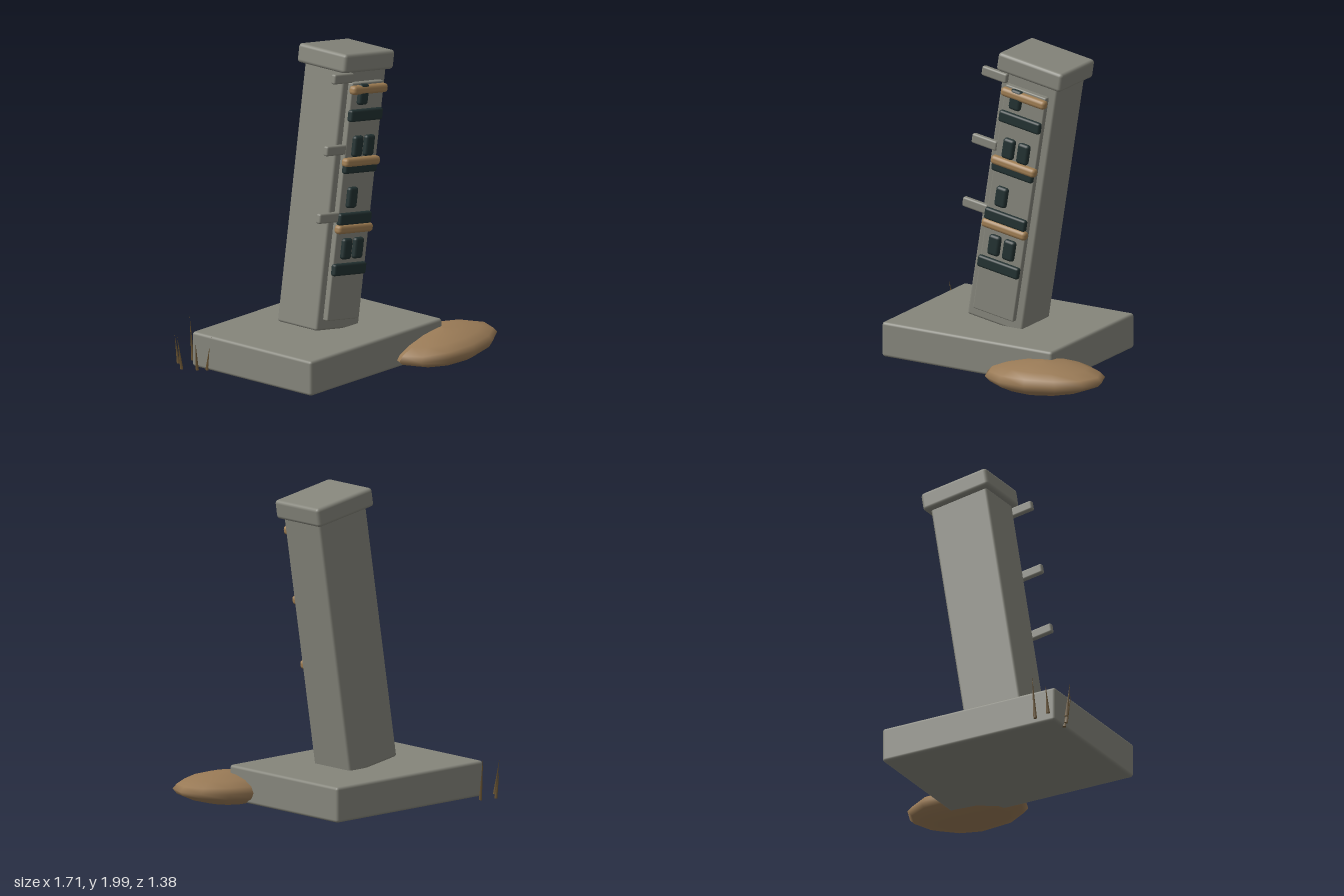
import * as THREE from 'three';
import { RoundedBoxGeometry } from 'three/addons/geometries/RoundedBoxGeometry.js';

const material = (name, color) => {
  const m = new THREE.MeshStandardMaterial({ color });
  m.name = name;
  return m;
};

export function createModel() {
  const stone = material('grey stone', 0x85857b);
  const dark = material('dark slate', 0x223131);
  const wood = material('tan wood', 0xa07e53);
  const earth = material('brown earth', 0x997a56);
  const straw = material('dry straw', 0x6e5836);

  const model = new THREE.Group();
  model.name = 'leaningTower';

  // Rounded block given by its centre and size
  const block = (parent, name, mat, [x, y, z], [w, h, d], r) => {
    const mesh = new THREE.Mesh(new RoundedBoxGeometry(w, h, d, 2, r), mat);
    mesh.name = name;
    mesh.position.set(x, y, z);
    parent.add(mesh);
    return mesh;
  };

  // Plinth
  block(model, 'base', stone, [-0.132, 0.145, -0.078], [1.215, 0.22, 0.965], 0.018);

  // Leaning tower, built upright in its own frame
  const tower = new THREE.Group();
  tower.name = 'tower';
  tower.position.set(-0.13, 0.26, 0);
  tower.rotation.z = -0.16;
  model.add(tower);
  block(tower, 'pillar', stone, [0, 0.81, -0.075], [0.395, 1.62, 0.32], 0.015);
  block(tower, 'cap', stone, [0, 1.667, -0.079], [0.465, 0.12, 0.39], 0.022);
  block(tower, 'frontPanel', stone, [0, 0.805, 0.09], [0.292, 1.48, 0.06], 0.008);

  // Pegs sticking out on the right side
  for (const y of [0.712, 1.132, 1.579])
    block(tower, 'peg', stone, [-0.234, y, 0.107], [0.18, 0.062, 0.036], 0.012);

  // Wooden rails and dark ledges across the front
  for (const y of [0.637, 1.053, 1.503])
    block(tower, 'woodRail', wood, [0, y, 0.127], [0.32, 0.057, 0.055], 0.022);
  for (const y of [0.384, 0.699, 1.02, 1.343])
    block(tower, 'darkLedge', dark, [-0.004, y, 0.125], [0.296, 0.075, 0.04], 0.015);

  // Small shutters, in pairs or single
  const shutters = [[-1, 0.513], [1, 0.513], [-1, 0.832], [-1, 1.151], [1, 1.151], [-1, 1.474]];
  for (const [side, y] of shutters)
    block(tower, 'shutter', dark, [side * 0.053, y, 0.13], [0.082, 0.132, 0.04], 0.019);

  // Flattened mound with pinched ends at the front corner
  const moundGeo = new THREE.SphereGeometry(1, 12, 8);
  const p = moundGeo.attributes.position;
  for (let i = 0; i < p.count; i++) {
    const x = p.getX(i);
    p.setY(i, p.getY(i) * (1 - 0.3 * x * x));
  }
  moundGeo.scale(0.407, 0.101, 0.253);
  moundGeo.computeVertexNormals();
  const mound = new THREE.Mesh(moundGeo, earth);
  mound.name = 'mound';
  mound.position.set(0.448, 0.107, 0.437);
  mound.rotation.z = 0.06;
  model.add(mound);

  // Dry grass blades: thin cones from root to tip
  const up = new THREE.Vector3(0, 1, 0);
  const blades = [
    [-0.75, -0.66, -0.75, 0.21, -0.69],
    [-0.645, -0.635, -0.64, 0.31, -0.665],
    [-0.825, -0.567, -0.857, 0.25, -0.577],
    [-0.775, -0.485, -0.805, 0.22, -0.474],
    [-0.737, -0.44, -0.735, 0.26, -0.405],
  ];
  for (const [x, z, tx, ty, tz] of blades) {
    const root = new THREE.Vector3(x, 0.035, z);
    const dir = new THREE.Vector3(tx, ty, tz).sub(root);
    const length = dir.length();
    const blade = new THREE.Mesh(new THREE.ConeGeometry(0.013, length, 4), straw);
    blade.name = 'grassBlade';
    blade.position.copy(root).addScaledVector(dir, 0.5);
    blade.quaternion.setFromUnitVectors(up, dir.normalize());
    model.add(blade);
  }
  return model;
}
